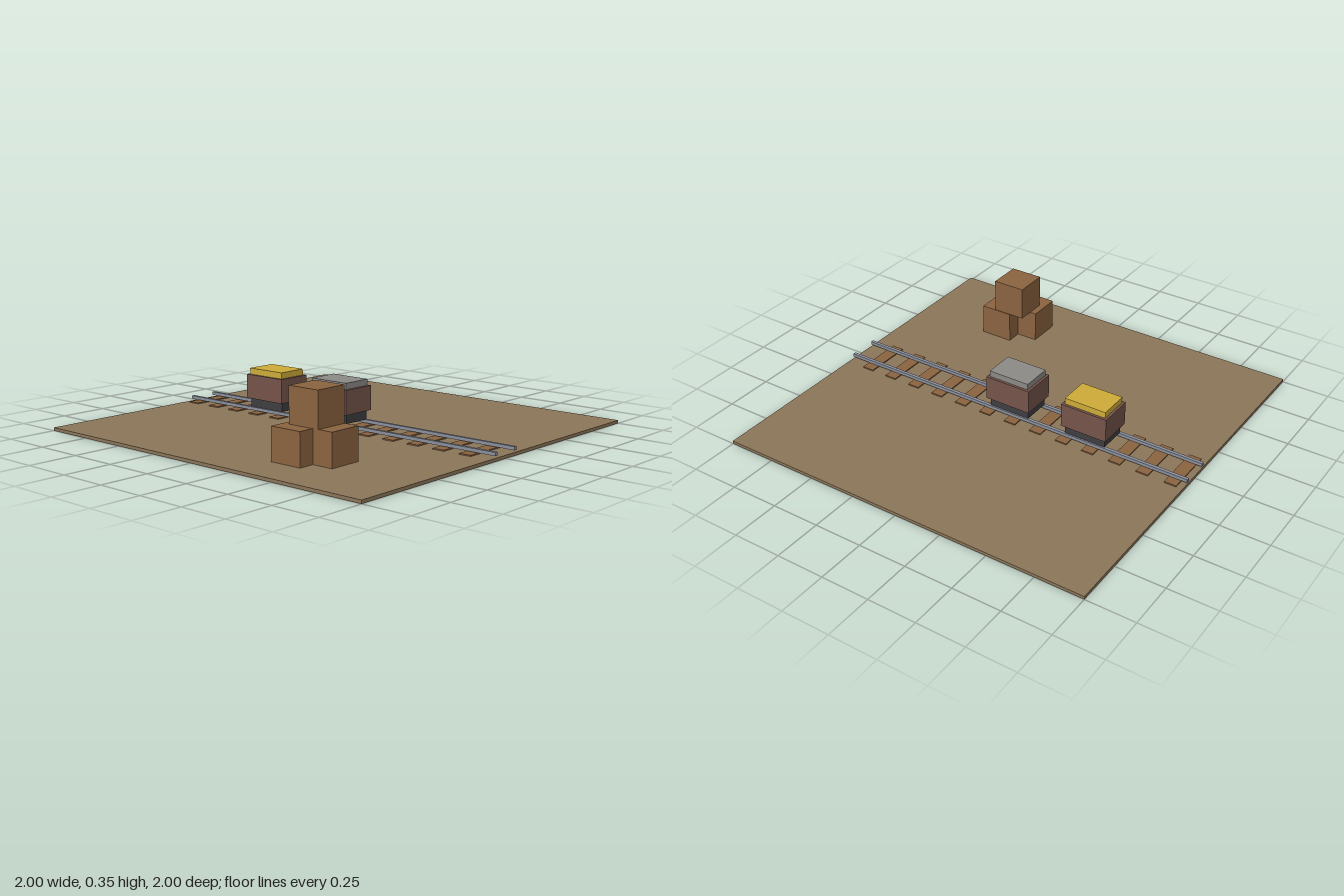
import * as THREE from 'three';

const mat = (name, color) => {
  const m = new THREE.MeshStandardMaterial({ color });
  m.name = name;
  return m;
};

export function createModel() {
  const earth = mat('earth', 0x8b7558);
  const wood = mat('wood', 0x8b6340);
  const steel = mat('steel', 0x8a8f9c);
  const iron = mat('dark iron', 0x3e3e42);
  const rust = mat('rusty brown', 0x75544a);
  const stone = mat('stone', 0x8c8a87);
  const gold = mat('gold', 0xcdab38);

  const model = new THREE.Group();
  model.name = 'mineTrack';

  // Box standing on height y, centred on x and z
  const box = (parent, name, material, [w, h, d], [x, y, z]) => {
    const mesh = new THREE.Mesh(new THREE.BoxGeometry(w, h, d), material);
    mesh.name = name;
    mesh.position.set(x, y + h / 2, z);
    parent.add(mesh);
  };

  box(model, 'ground', earth, [2, 0.016, 2], [0, 0, 0]);

  // Track: evenly spaced sleepers under two rails
  const track = new THREE.Group();
  track.name = 'track';
  model.add(track);
  for (let i = 0; i < 13; i++) {
    box(track, 'sleeper', wood, [0.256, 0.021, 0.064], [0, 0.001, -0.935 + i * 0.15]);
  }
  for (const side of [-1, 1]) {
    box(track, 'rail', steel, [0.017, 0.017, 2], [side * 0.075, 0.026, 0]);
  }

  // Mine carts: undercarriage, tub and a heaped load
  const addCart = (z, loadMaterial) => {
    const cart = new THREE.Group();
    cart.name = 'cart';
    cart.position.z = z;
    box(cart, 'undercarriage', iron, [0.15, 0.047, 0.224], [0, 0.043, 0]);
    box(cart, 'tub', rust, [0.186, 0.125, 0.25], [0, 0.09, 0]);
    box(cart, 'load', loadMaterial, [0.16, 0.032, 0.224], [0, 0.215, 0]);
    model.add(cart);
  };
  addCart(0, stone);
  addCart(-0.438, gold);

  // Stacked crates
  const crates = new THREE.Group();
  crates.name = 'crates';
  model.add(crates);
  for (const [x, y, z] of [[-0.702, 0.003, 0.382], [-0.619, 0.003, 0.494], [-0.623, 0.178, 0.416]]) {
    box(crates, 'crate', wood, [0.174, 0.175, 0.174], [x, y, z]);
  }
  return model;
}
